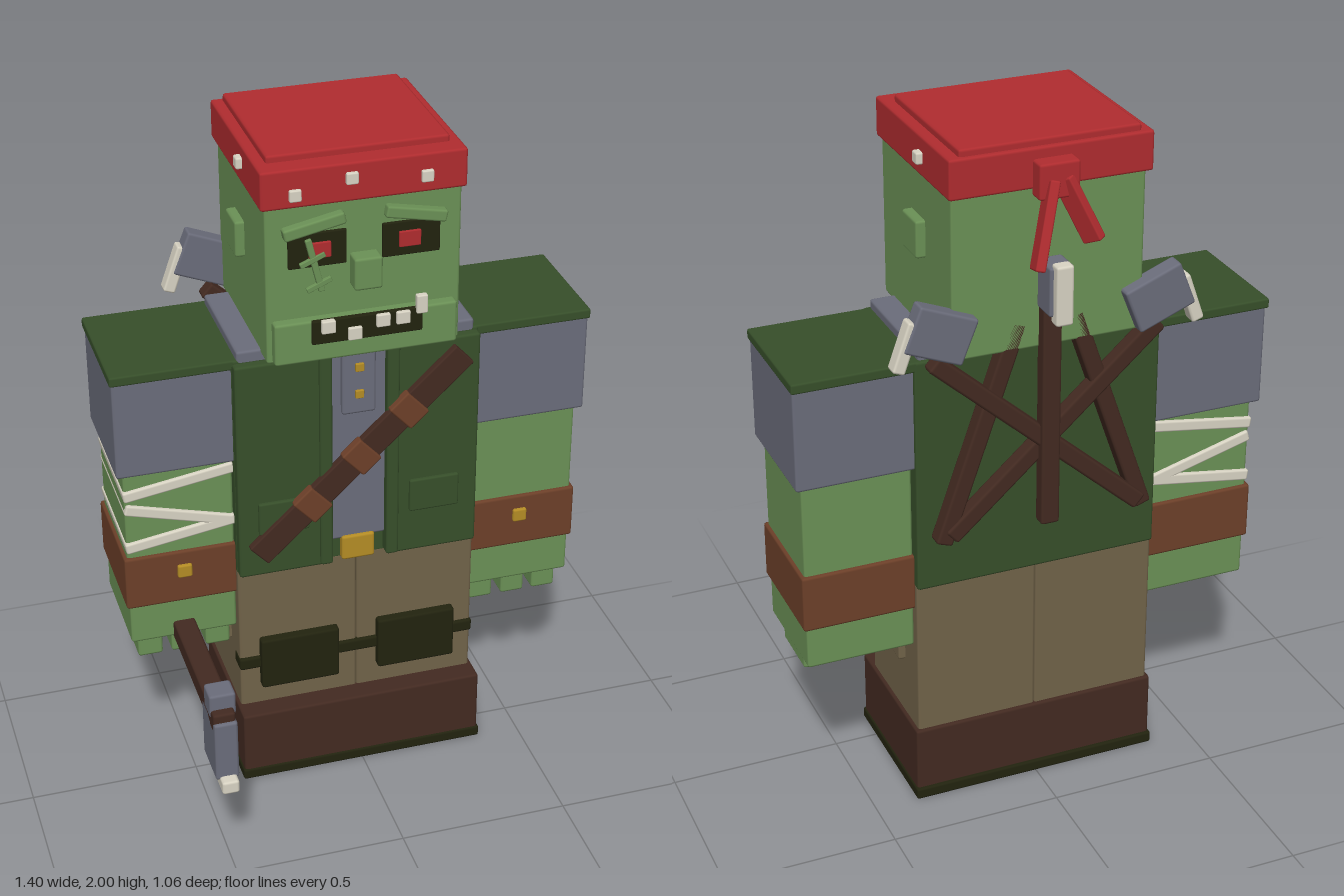
import * as THREE from 'three';
import { RoundedBoxGeometry } from 'three/addons/geometries/RoundedBoxGeometry.js';

const mat = (name, color) => new THREE.MeshStandardMaterial({ name, color });
const M = {
  skin: mat('skin green', 0x6b9156), coat: mat('coat green', 0x374f2a),
  grey: mat('steel grey', 0x6b6d7b), red: mat('bandana red', 0xb02c2f),
  leather: mat('leather brown', 0x6d4029), wood: mat('dark brown', 0x432a21),
  tan: mat('trouser tan', 0x716349), bone: mat('bone white', 0xd9d4c4),
  gold: mat('gold', 0xb58d25), dark: mat('near black', 0x22230f),
};

export function createModel() {
  const model = new THREE.Group();
  model.name = 'greenBrute';

  // slightly bevelled box from its limits on each axis, optionally turned about z
  function box(name, m, [x0, x1], [y0, y1], [z0, z1], rz = 0, parent = model) {
    const w = x1 - x0, h = y1 - y0, d = z1 - z0;
    const r = Math.min(0.008, Math.min(w, h, d) * 0.2);
    const mesh = new THREE.Mesh(new RoundedBoxGeometry(w, h, d, 1, r), M[m]);
    mesh.position.set((x0 + x1) / 2, (y0 + y1) / 2, (z0 + z1) / 2);
    mesh.rotation.z = rz;
    mesh.name = name;
    parent.add(mesh);
    return mesh;
  }
  // box by centre and size
  const block = (name, m, [x, y, z], [w, h, d], rz = 0, parent = model) =>
    box(name, m, [x - w / 2, x + w / 2], [y - h / 2, y + h / 2], [z - d / 2, z + d / 2], rz, parent);
  // square bar between two points
  function bar(name, m, a, b, w, d) {
    const p = new THREE.Vector3(...a), q = new THREE.Vector3(...b), dir = q.clone().sub(p);
    const mesh = block(name, m, [0, 0, 0], [w, dir.length(), d]);
    mesh.position.copy(p).add(q).multiplyScalar(0.5);
    mesh.quaternion.setFromUnitVectors(new THREE.Vector3(0, 1, 0), dir.normalize());
    return mesh;
  }
  // same box on both sides
  function pair(name, m, [x0, x1], y, z, rz = 0) {
    box(name + 'Left', m, [x0, x1], y, z, rz);
    box(name + 'Right', m, [-x1, -x0], y, z, -rz);
  }

  // boots and trousers
  box('sole', 'dark', [-0.375, 0.375], [0, 0.035], [-0.355, 0.105]);
  box('boots', 'wood', [-0.37, 0.37], [0.02, 0.23], [-0.345, 0.1]);
  pair('leg', 'tan', [0, 0.36], [0.2, 0.71], [-0.335, 0.035]);
  pair('sidePocket', 'tan', [0.34, 0.38], [0.41, 0.6], [-0.235, -0.06]);
  box('thighStrap', 'dark', [-0.363, 0.363], [0.36, 0.4], [-0.02, 0.045]);
  pair('thighPouch', 'dark', [0.06, 0.3], [0.295, 0.465], [0.02, 0.062]);

  // torso, coat and shirt
  box('coatBack', 'coat', [-0.36, 0.36], [0.7, 1.4], [-0.347, 0.035]);
  box('shirt', 'grey', [-0.09, 0.09], [0.77, 1.4], [0, 0.045]);
  pair('coatFront', 'coat', [0.105, 0.358], [0.7, 1.39], [0, 0.06]);
  pair('lapel', 'coat', [0.08, 0.118], [0.705, 1.39], [0, 0.07]);
  pair('coatPocket', 'coat', [0.15, 0.3], [0.84, 0.945], [0.04, 0.07]);
  box('shirtCollar', 'grey', [-0.345, 0.345], [1.38, 1.425], [-0.335, 0.035]);
  box('placket', 'grey', [-0.05, 0.05], [1.19, 1.41], [0.02, 0.06]);
  for (const y of [1.34, 1.255]) block('shirtButton', 'gold', [0, y, 0.062], [0.025, 0.025, 0.012]);
  box('beltBuckle', 'gold', [-0.05, 0.05], [0.7, 0.78], [0, 0.055]);

  // chest strap with loops
  block('chestStrap', 'wood', [0, 1.06, 0.07], [0.83, 0.08, 0.025], 0.745);
  for (const x of [-0.145, 0, 0.14])
    block('strapLoop', 'leather', [x, 1.06 + x * 0.92, 0.075], [0.075, 0.095, 0.03], 0.745);

  // arms
  pair('shoulderPad', 'coat', [0.34, 0.7], [1.37, 1.4], [-0.345, 0.033]);
  pair('sleeve', 'grey', [0.352, 0.695], [1.075, 1.38], [-0.335, 0.028]);
  pair('arm', 'skin', [0.36, 0.675], [0.505, 1.09], [-0.312, 0.01]);
  pair('cuff', 'leather', [0.355, 0.685], [0.63, 0.8], [-0.322, 0.02]);
  pair('cuffStud', 'gold', [0.49, 0.533], [0.715, 0.757], [0, 0.03]);
  for (const x of [0.412, 0.515, 0.615])
    pair('finger', 'skin', [x - 0.037, x + 0.037], [0.43, 0.52], [-0.2, -0.02]);

  // bandage on the right arm
  for (const [y, r] of [[1.028, 0.15], [0.92, -0.27], [0.857, 0.15]])
    block('bandage', 'bone', [-0.517, y, -0.151], [0.325, 0.034, 0.342], r);

  // hammer in the right hand
  box('hammerHandle', 'wood', [-0.55, -0.485], [0.495, 0.557], [-0.2, 0.485]);
  box('hammerHead', 'grey', [-0.55, -0.482], [0.34, 0.53], [0.35, 0.495]);
  box('hammerCap', 'grey', [-0.553, -0.477], [0.53, 0.603], [0.388, 0.458]);
  box('hammerEdge', 'bone', [-0.54, -0.49], [0.31, 0.352], [0.318, 0.527]);

  // head and face
  box('head', 'skin', [-0.275, 0.275], [1.41, 1.9], [-0.4, 0.1]);
  box('jaw', 'skin', [-0.26, 0.26], [1.415, 1.54], [0.05, 0.13]);
  box('nose', 'skin', [-0.04, 0.04], [1.62, 1.715], [0.08, 0.148]);
  pair('ear', 'skin', [0.26, 0.302], [1.635, 1.742], [-0.22, -0.115]);
  box('mouth', 'dark', [-0.157, 0.157], [1.47, 1.54], [0.12, 0.137]);
  for (const [x, y] of [[-0.112, 1.522], [-0.037, 1.492], [0.043, 1.52], [0.1, 1.52]])
    block('tooth', 'bone', [x, y, 0.137], [0.04, 0.038, 0.02]);
  block('tusk', 'bone', [0.153, 1.553, 0.137], [0.032, 0.055, 0.02]);
  pair('eyeSocket', 'dark', [0.05, 0.213], [1.69, 1.79], [0.09, 0.108]);
  pair('pupil', 'red', [0.095, 0.157], [1.717, 1.763], [0.1, 0.115]);
  pair('brow', 'skin', [0.055, 0.23], [1.795, 1.83], [0.09, 0.125], -0.2);
  bar('scar', 'skin', [-0.16, 1.775, 0.112], [-0.122, 1.62, 0.112], 0.018, 0.014);
  for (const [x, y] of [[-0.148, 1.715], [-0.13, 1.64]])
    block('scarStitch', 'skin', [x, y, 0.114], [0.075, 0.015, 0.012], 0.4);

  // bandana with studs, knot and tails
  box('headband', 'red', [-0.287, 0.287], [1.868, 1.98], [-0.42, 0.11]);
  box('bandanaTop', 'red', [-0.255, 0.255], [1.95, 2], [-0.408, 0.052]);
  for (const [x, y] of [[-0.193, 1.907], [-0.037, 1.937], [0.172, 1.917]])
    block('bandStud', 'bone', [x, y, 0.11], [0.034, 0.034, 0.022]);
  block('bandStudLeft', 'bone', [0.29, 1.922, -0.222], [0.03, 0.034, 0.034]);
  block('bandStudRight', 'bone', [-0.29, 1.932, -0.088], [0.03, 0.034, 0.034]);
  block('knot', 'red', [0, 1.9, -0.438], [0.115, 0.1, 0.055]);
  bar('tailLeft', 'red', [0.015, 1.9, -0.45], [0.08, 1.68, -0.505], 0.065, 0.028);
  bar('tailRight', 'red', [-0.015, 1.9, -0.445], [-0.09, 1.73, -0.485], 0.06, 0.028);

  // bundle of axes on the back
  bar('middleHandle', 'wood', [0, 0.88, -0.41], [0, 1.56, -0.41], 0.055, 0.045);
  box('middleAxeHead', 'grey', [-0.035, 0.035], [1.53, 1.67], [-0.485, -0.4]);
  box('middleAxeBlade', 'bone', [-0.025, 0.025], [1.51, 1.68], [-0.508, -0.468]);
  for (const s of [1, -1]) {
    bar('leaningHandle', 'wood', [s * 0.3, 0.86, -0.375], [s * 0.08, 1.49, -0.375], 0.05, 0.05);
    bar('crossedHandle', 'wood', [-s * 0.28, 0.88, -0.39 - s * 0.006], [s * 0.33, 1.42, -0.39 - s * 0.006], 0.05, 0.045);
    block('sideAxeHead', 'grey', [s * 0.315, 1.505, -0.407], [0.175, 0.135, 0.055], s * 0.38);
    block('sideAxeBlade', 'bone', [s * 0.41, 1.485, -0.407], [0.037, 0.145, 0.045], s * 0.34);
  }
  return model;
}
